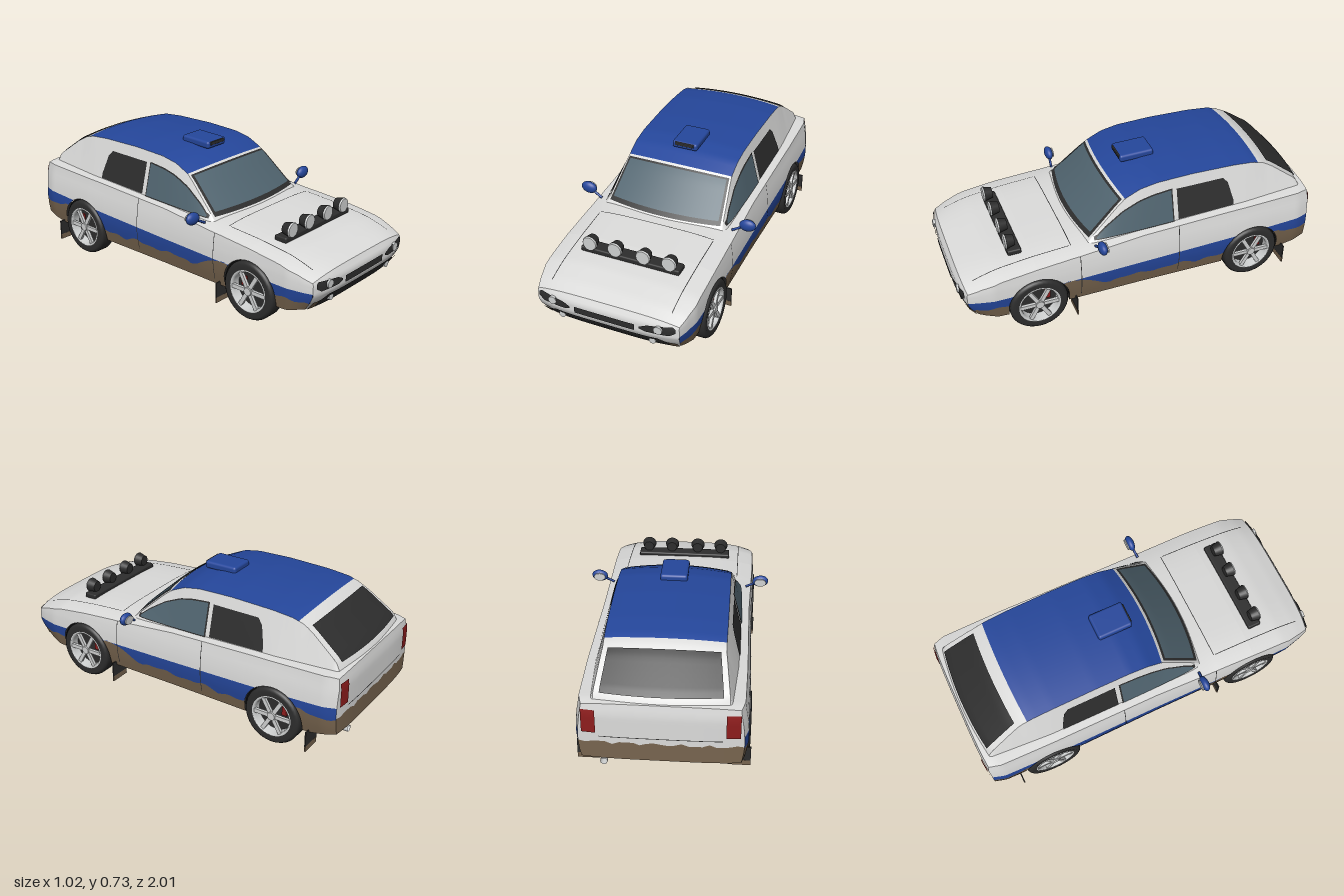
import * as THREE from 'three';
import { RoundedBoxGeometry } from 'three/addons/geometries/RoundedBoxGeometry.js';

const mat = (name, color) => new THREE.MeshStandardMaterial({ name, color, side: THREE.DoubleSide });

// piecewise linear lookup over ascending [key, value] pairs
const table = (...p) => (v) => {
  if (v <= p[0][0]) return p[0][1];
  for (let i = 1; i < p.length; i++) {
    if (v <= p[i][0]) return p[i - 1][1] + (p[i][1] - p[i - 1][1]) * (v - p[i - 1][0]) / (p[i][0] - p[i - 1][0]);
  }
  return p[p.length - 1][1];
};
const range = (a, b, n) => Array.from({ length: n + 1 }, (_, i) => a + (b - a) * i / n);
const lerp = THREE.MathUtils.lerp, clamp = THREE.MathUtils.clamp;

// body shape rules
const WHEELS = [0.6, -0.635], ARCH = 0.168;
const width = table([-1, .405], [-.93, .425], [-.6, .43], [0, .425], [.6, .43], [.85, .425], [.95, .405], [1, .39]);
const flank = table([.12, .945], [.16, .965], [.2, .985], [.26, 1], [.32, .995], [.38, .98], [.44, .955], [.49, .94]);
const top = table([-1, .482], [-.95, .486], [-.5, .475], [0, .455], [.3, .44], [.4, .435], [.6, .42], [.8, .395], [.93, .365], [1, .34]);
const crown = table([-1, .012], [0, .015], [.35, .028], [1, .03]);
const bottom = table([-1, .16], [-.85, .13], [-.7, .12], [.7, .12], [.85, .125], [1, .15]);
const nose = table([.12, .08], [.16, .05], [.2, .02], [.24, 0], [.3, 0], [.34, .02], [.4, .05]);
const edge = (z) => top(z) - crown(z);
const sideX = (y, z) => width(z) * flank(y);
const deckY = (x, z) => edge(z) + crown(z) * (1 - Math.min(1, Math.abs(x) / sideX(edge(z), z)) ** 4);
const inArch = (z) => WHEELS.some((c) => Math.abs(z - c) < ARCH + .0005);
const sill = (z) => WHEELS.reduce((y, c) => Math.abs(z - c) < ARCH + .0005
  ? Math.max(y, .16 + Math.sqrt(Math.max(0, ARCH ** 2 - (z - c) ** 2))) : y, bottom(z));
const warp = (x, y, z) => {
  const f = clamp((z - .7) / .3, 0, 1) ** 2, r = clamp((-z - .85) / .15, 0, 1), q = (x / .42) ** 4;
  return [x, y, z - f * (.04 * q + nose(y)) + r * (.018 * q + clamp(y - .42, 0, 1) * .2)];
};

// cabin shape rules, driven by the centre line position c
const roofY = table([-.985, .47], [-.96, .52], [-.8, .64], [-.74, .675], [-.68, .694], [-.55, .705], [-.3, .71],
  [-.1, .703], [0, .685], [.1, .645], [.15, .605], [.35, .422]);
const roofW = table([-.985, .33], [-.76, .3], [-.5, .302], [.1, .302], [.35, .338]);
const bow = table([-.985, -.03], [-.7, -.01], [-.5, 0], [0, .01], [.1, .025], [.35, .045]);
const arc = table([-.985, 0], [-.7, .018], [.1, .018], [.35, 0]);
const cabin = (c, u, lift = 0) => [u * roofW(c), roofY(c) - arc(c) * u * u + lift, c - bow(c) * u * u + Math.sign(c) * lift * .8];
const baseX = table([-1, .34], [-.6, .365], [.36, .365]);
const baseY = (z) => deckY(baseX(z), z) - .01;
const cabinSide = (y, z, off) => {
  const e = cabin(z + bow(z), 1), b = baseY(z);
  return lerp(baseX(z), e[0], clamp((y - b) / Math.max(.01, e[1] - b), 0, 1)) + off;
};

export function createModel() {
  const car = new THREE.Group();
  car.name = 'rallyCar';
  const white = mat('whitePaint', 0xdcdcdb), blue = mat('bluePaint', 0x25479c), mud = mat('mud', 0x78654f),
    black = mat('blackTrim', 0x2d2d2d), under = mat('underside', 0x191919), glass = mat('glass', 0x50646f),
    red = mat('red', 0x8e1d1d), silver = mat('silver', 0xd0d2d2);

  const add = (name, geo, m, x = 0, y = 0, z = 0, parent = car) => {
    const o = new THREE.Mesh(geo, m);
    o.name = name;
    o.position.set(x, y, z);
    parent.add(o);
    return o;
  };
  // surface strip: stations along a, running from lo(a) to hi(a), placed by map(a, b)
  const patch = (name, m, as, lo, hi, n, map) => {
    const pos = [], idx = [];
    as.forEach((a, i) => {
      for (let j = 0; j <= n; j++) {
        pos.push(...map(a, lerp(lo(a), hi(a), j / n)));
        const k = i * (n + 1) + j;
        if (i && j) idx.push(k, k - 1, k - n - 2, k, k - n - 2, k - n - 1);
      }
    });
    const g = new THREE.BufferGeometry();
    g.setAttribute('position', new THREE.Float32BufferAttribute(pos, 3));
    g.setIndex(idx);
    g.computeVertexNormals();
    return add(name, g, m);
  };
  const k = (v) => () => v;

  // body stations, denser around the wheel arches
  const zs = range(-1, 1, 80);
  for (const c of WHEELS) {
    zs.push(c - ARCH - .001, c + ARCH + .001);
    for (let i = 0; i <= 20; i++) zs.push(c + ARCH * Math.cos(Math.PI * i / 20));
  }
  zs.sort((a, b) => a - b);

  // flanks in three paint bands: mud, stripe, white
  const mudBase = table([-1, .25], [-.9, .238], [-.8, .262], [-.74, .25], [-.46, .19], [-.3, .18], [-.2, .205], [-.1, .188],
    [.1, .205], [.2, .188], [.3, .225], [.36, .265], [.44, .265], [.76, .2], [1, .19]);
  const stripeBase = table([-1, .315], [-.46, .292], [0, .275], [.44, .266], [.76, .256], [1, .252]);
  const fit = (f) => (z) => clamp(f(z), sill(z), edge(z));
  const mudTop = fit((z) => mudBase(z) + .006 * Math.sin(z * 47)), stripeTop = fit(stripeBase);
  for (const s of [1, -1]) {
    const map = (z, y) => warp(s * sideX(y, z), y, z);
    patch('flankMud', mud, zs, sill, mudTop, 3, map);
    patch('flankStripe', blue, zs, mudTop, stripeTop, 3, map);
    patch('flankPaint', white, zs, stripeTop, edge, 6, map);
    // door gaps
    for (const z of [.365, -.195]) patch('doorGap', black, [z - .002, z + .002], k(.15), k(edge(z)), 8, (a, y) => warp(s * (sideX(y, a) + .002), y, a));
    // hood gaps
    patch('hoodGap', black, range(.4, .95, 12), k(.328), k(.332), 1, (z, x) => warp(s * x, deckY(x, z) + .003, z));
  }
  patch('deck', white, zs, k(-1), k(1), 24, (z, u) => {
    const x = u * sideX(edge(z), z);
    return warp(x, deckY(x, z), z);
  });
  patch('hoodRearGap', black, range(-.33, .33, 12), k(.388), k(.392), 1, (x, z) => warp(x, deckY(x, z) + .003, z));
  patch('floor', under, zs, k(-1), k(1), 2, (z, u) => warp(u * (inArch(z) ? .3 : sideX(bottom(z), z)), bottom(z), z));

  // nose and tail panels
  const us = range(-1, 1, 24);
  const endMap = (e) => (u, v) => {
    const xe = sideX(edge(e), e), y = lerp(bottom(e), deckY(u * xe, e), v);
    return warp(u * sideX(Math.min(y, edge(e)), e), y, e);
  };
  patch('nosePanel', white, us, k(0), k(1), 14, endMap(1));
  const split = (u) => .31 + .02 * Math.sin(u * 19) + .012 * Math.sin(u * 41);
  patch('tailMud', mud, us, k(0), split, 5, endMap(-1));
  patch('tailPanel', white, us, split, k(1), 8, endMap(-1));
  const onEnd = (e, off, s = 1) => (x, y) => {
    const p = warp(s * x, y, e);
    return [p[0], p[1], p[2] + e * off];
  };
  patch('bumperIntake', black, range(-.36, .36, 36), k(.15), (x) => table([.29, .225], [.31, .203], [.36, .195])(Math.abs(x)), 5, onEnd(1, .006));
  patch('grille', black, range(-.165, .165, 12), k(.25), k(.286), 2, onEnd(1, .006));
  patch('bootGap', black, range(-.3, .3, 12), k(.292), k(.296), 1, onEnd(-1, .003));
  const disc = (name, r, x, y) => add(name, new THREE.CylinderGeometry(r, r, .014, 20).rotateX(Math.PI / 2), silver, x, y, onEnd(1, .006)(x, y)[2]);
  for (const s of [1, -1]) {
    patch('headlightHousing', black, range(.19, .375, 12), table([.19, .27], [.22, .26], [.345, .26], [.375, .28]),
      table([.19, .28], [.23, .3], [.36, .312], [.375, .302]), 3, onEnd(1, .007, s));
    disc('headlight', .022, s * .29, .285);
    disc('fogLight', .018, s * .25, .193);
    patch('bumperMud', mud, range(.33, .375, 4), k(.152), k(.2), 3, onEnd(1, .008, s));
    patch('tailLight', red, range(.315, .385, 5), k(.315), k(.445), 5, onEnd(-1, .006, s));
  }

  // cabin shell
  const shell = (name, m, a, b, n, u = 1, lift = 0) => patch(name, m, range(a, b, n), k(-u), k(u), 16, (c, v) => cabin(c, v, lift));
  shell('windshieldFrame', white, .35, .1, 12);
  shell('roof', blue, .1, -.71, 36);
  shell('rearFrame', white, -.71, -.985, 14);
  shell('windshieldSeal', black, .325, .112, 10, .97, .003);
  shell('windshield', glass, .305, .122, 10, .93, .006);
  shell('rearWindow', black, -.77, -.965, 10, .91, .005);
  for (const s of [1, -1]) {
    patch('cabinSide', white, range(.35, -.985, 60), k(0), k(1), 5, (c, v) => {
      const e = cabin(c, 1);
      return [s * lerp(baseX(e[2]), e[0], v), lerp(Math.min(baseY(e[2]), e[1]), e[1], v), e[2]];
    });
    const onSide = (off) => (z, y) => [s * cabinSide(y, z, off), y, z];
    const arch = table([-.18, .632], [-.08, .622], [0, .604], [.1, .56], [.2, .495], [.255, .45]);
    const belt = table([-.18, .458], [.255, .446]);
    patch('frontWindowSeal', black, range(-.186, .265, 20), (z) => belt(z) - .006, (z) => arch(z) + .006, 4, onSide(.004));
    patch('frontWindow', glass, range(-.178, .25, 20), belt, arch, 4, onSide(.007));
    patch('rearSideWindow', black, range(-.535, -.21, 12), table([-.535, .472], [-.21, .46]), table([-.535, .5], [-.5, .634], [-.21, .632]), 4, onSide(.005));
    // door mirror
    const head = add('mirrorHead', new THREE.SphereGeometry(1, 20, 14), blue, s * .466, .473, .26);
    head.scale.set(.046, .034, .023);
    head.rotation.z = s * .12;
    const face = add('mirrorGlass', new THREE.CylinderGeometry(1, 1, 1, 20).rotateX(Math.PI / 2), silver, s * .466, .473, .238);
    face.scale.set(.033, .023, .006);
    add('mirrorArm', new THREE.TubeGeometry(new THREE.LineCurve3(new THREE.Vector3(s * .385, .43, .27),
      new THREE.Vector3(s * .445, .462, .262)), 1, .007, 8), blue);
  }

  // roof scoop
  const scoop = add('roofScoop', new RoundedBoxGeometry(.146, .042, .195, 3, .014), blue, 0, .712, -.083);
  scoop.rotation.x = .02;
  add('scoopMouth', new RoundedBoxGeometry(.11, .02, .012, 2, .004), black, 0, .718, .012);

  // hood lamp bar
  add('lampBar', new RoundedBoxGeometry(.55, .03, .075, 2, .008), black, 0, .418, .678);
  for (const x of [-.222, -.08, .078, .22]) {
    add('lampBody', new THREE.CylinderGeometry(.041, .03, .045, 24).rotateX(Math.PI / 2), black, x, .462, .69);
    add('lampLens', new THREE.CylinderGeometry(.037, .041, .008, 24).rotateX(Math.PI / 2), silver, x, .462, .716);
  }

  // wheels, arch liners and mud flaps
  const V = (r, h) => new THREE.Vector2(r, h);
  const turn = (pts) => new THREE.LatheGeometry(pts, 36).rotateZ(-Math.PI / 2);
  const tyre = turn([V(.112, -.05), V(.142, -.054), V(.153, -.046), V(.16, -.034), V(.16, .034), V(.153, .046), V(.142, .054), V(.112, .05)]);
  const rim = turn([V(.1, -.045), V(.1, .042), V(.108, .053), V(.115, .05)]);
  for (const s of [1, -1]) for (const z of WHEELS) {
    const w = new THREE.Group();
    w.name = 'wheel';
    w.position.set(s * .381, .16, z);
    if (s < 0) w.rotation.y = Math.PI;
    car.add(w);
    add('tyre', tyre, black, 0, 0, 0, w);
    add('rim', rim, silver, 0, 0, 0, w);
    add('wheelBack', new THREE.CylinderGeometry(.1, .1, .02, 28).rotateZ(Math.PI / 2), black, -.01, 0, 0, w);
    add('brakeCaliper', new THREE.BoxGeometry(.015, .05, .026), red, .008, .03, -s * .055, w);
    add('hub', new THREE.CylinderGeometry(.022, .028, .022, 18).rotateZ(-Math.PI / 2), silver, .043, 0, 0, w);
    for (let i = 0; i < 6; i++) {
      const spoke = add('spoke', new THREE.BoxGeometry(.016, .09, .022).translate(0, .06, 0), silver, .04, 0, 0, w);
      spoke.rotation.x = i * Math.PI / 3 + Math.PI / 6;
    }
    add('archLiner', new THREE.CylinderGeometry(ARCH, ARCH, .11, 24, 1, true, 0, Math.PI).rotateZ(Math.PI / 2), under, s * .355, .16, z);
    add('archWall', new THREE.CircleGeometry(ARCH, 24, 0, Math.PI).rotateY(Math.PI / 2), under, s * .3, .16, z);
    add('archWallLower', new THREE.PlaneGeometry(ARCH * 2, .04).rotateY(Math.PI / 2), under, s * .3, .14, z);
    const fz = z - .205;
    add('mudFlap', new THREE.BoxGeometry(.115, .085, .006), black, s * .382, .1, fz);
    add('mudFlapDirt', new THREE.BoxGeometry(.115, .03, .007), mud, s * .382, .043, fz);
  }

  // exhaust
  add('exhaust', new THREE.CylinderGeometry(.018, .018, .18, 18, 1, true).rotateX(Math.PI / 2), silver, .28, .14, -.91);
  return car;
}
